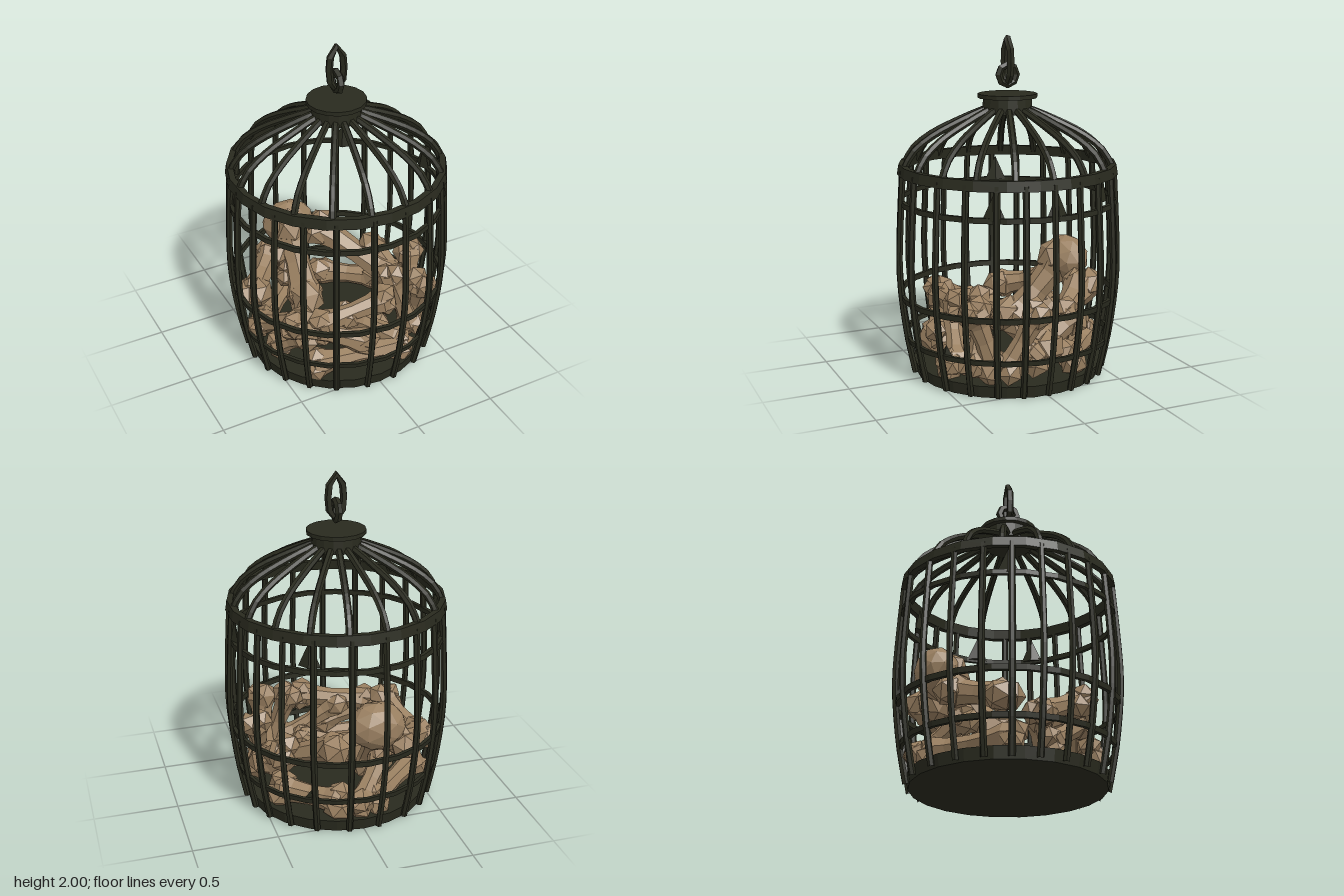
import * as THREE from 'three';

const iron = new THREE.MeshStandardMaterial({ color: 0x292a1e, flatShading: true });
iron.name = 'dark iron';
const boneMat = new THREE.MeshStandardMaterial({ color: 0x9a8061, flatShading: true });
boneMat.name = 'old bone';

const V = (x, y, z) => new THREE.Vector3(x, y, z);
const UP = V(0, 1, 0);
const RAD = Math.PI / 180;

function add(parent, name, geo, mat = iron) {
  const m = new THREE.Mesh(geo, mat);
  m.name = name;
  parent.add(m);
  return m;
}

// Hoop with a rectangular section, slightly tapered from bottom to top
function hoop(parent, name, y0, y1, r0, r1, thick) {
  const pts = [[r0 - thick, y0], [r0, y0], [r1, y1], [r1 - thick, y1], [r0 - thick, y0]];
  return add(parent, name, new THREE.LatheGeometry(pts.map(p => new THREE.Vector2(...p)), 22));
}

// Same bent rod placed at each angle around the vertical axis; profile holds [radius, y]
function rodRing(parent, name, angles, profile, radius, steps) {
  const curve = new THREE.CatmullRomCurve3(profile.map(([r, y]) => V(r, y, 0)));
  const geo = new THREE.TubeGeometry(curve, steps, radius, 6, false);
  for (const deg of angles) add(parent, name, geo).rotation.y = deg * RAD;
}

// Flat triangular barb standing on a hoop
function barb(parent, deg, y, radius, width, height) {
  const a = deg * RAD;
  const m = add(parent, 'barb', new THREE.ConeGeometry(width / 2, height, 4));
  m.position.set(Math.cos(a) * radius, y + height / 2, Math.sin(a) * radius);
  m.rotation.y = -a;
  m.scale.x = 0.4;
}

// Angular oval chain link in the xy plane
function link(parent, cy, halfW, halfH, tube) {
  const pts = [];
  for (let i = 0; i < 8; i++) {
    const a = (i / 8) * Math.PI * 2 + Math.PI / 2;
    pts.push(V(Math.cos(a) * (halfW - tube), Math.sin(a) * (halfH - tube), 0));
  }
  const geo = new THREE.TubeGeometry(new THREE.CatmullRomCurve3(pts, true), 8, tube, 5, true);
  const m = add(parent, 'chainLink', geo);
  m.position.y = cy;
  return m;
}

// Long bone: waisted shaft with a pair of blunt knuckles at each end
function bone(parent, from, to, r, twist) {
  const a = V(...from), b = V(...to), len = a.distanceTo(b);
  const g = new THREE.Group();
  g.name = 'bone';
  const profile = [[0, -0.52], [1.1, -0.5], [1.4, -0.4], [1.05, -0.25], [0.9, 0],
    [1.05, 0.25], [1.4, 0.4], [1.1, 0.5], [0, 0.52]];
  add(g, 'boneShaft', new THREE.LatheGeometry(
    profile.map(([k, t]) => new THREE.Vector2(k * r, t * len)), 7), boneMat);
  for (const end of [-1, 1]) {
    for (const side of [-1, 1]) {
      const k = add(g, 'boneKnuckle', new THREE.IcosahedronGeometry(r * 1.15, 0), boneMat);
      k.position.set(side * r * 0.65, end * len * 0.46, 0);
      k.scale.set(1, 1.2, 1.1);
    }
  }
  g.position.copy(a).lerp(b, 0.5);
  g.quaternion.setFromUnitVectors(UP, b.sub(a).normalize());
  g.rotateY(twist);
  parent.add(g);
}

export function createModel() {
  const model = new THREE.Group();
  model.name = 'hangingCage';
  const cage = new THREE.Group();
  cage.name = 'cage';
  model.add(cage);

  // Solid floor
  add(cage, 'floor', new THREE.CylinderGeometry(0.572, 0.56, 0.07, 22)).position.y = 0.035;

  // Upright bars, bulging in the middle, closest together at the sides
  const barAngles = [0, 180];
  for (const a of [15, 29.5, 45.5, 62, 81]) barAngles.push(a, -a, 180 - a, a - 180);
  rodRing(cage, 'uprightBar', barAngles,
    [[0.57, 0.01], [0.612, 0.22], [0.645, 0.48], [0.654, 0.65], [0.645, 0.9], [0.625, 1.23]], 0.0195, 12);

  // Hoops
  hoop(cage, 'lowerHoop', 0.207, 0.237, 0.618, 0.623, 0.02);
  hoop(cage, 'middleHoop', 0.46, 0.492, 0.65, 0.653, 0.022);
  hoop(cage, 'upperHoop', 1.025, 1.055, 0.645, 0.643, 0.022);
  hoop(cage, 'rimBand', 1.2, 1.26, 0.65, 0.64, 0.035);

  // Domed roof ribs
  rodRing(cage, 'roofRib', Array.from({ length: 18 }, (_, i) => i * 20),
    [[0.62, 1.23], [0.565, 1.33], [0.455, 1.42], [0.3, 1.5], [0.15, 1.565], [0.1, 1.58]], 0.021, 10);

  // Cap
  add(cage, 'capNeck', new THREE.CylinderGeometry(0.142, 0.147, 0.09, 16)).position.y = 1.595;
  add(cage, 'capPlate', new THREE.CylinderGeometry(0.174, 0.174, 0.024, 16)).position.y = 1.65;

  // Barbs
  for (const [deg, r] of [[-2, 0.615], [31, 0.62], [-58, 0.56], [197, 0.615]]) {
    barb(cage, deg, 1.04, r, 0.13, 0.15);
  }
  for (const deg of [60, -60]) barb(cage, deg, 0.22, 0.59, 0.1, 0.07);

  // Chain
  const chain = new THREE.Group();
  chain.name = 'chain';
  model.add(chain);
  link(chain, 1.845, 0.068, 0.155, 0.022);
  link(chain, 1.77, 0.078, 0.08, 0.022).rotation.y = Math.PI / 2;

  // Heap of bones around the floor
  const heap = new THREE.Group();
  heap.name = 'boneHeap';
  model.add(heap);
  const bones = [
    [[-0.46, 0.4, 0.27], [-0.02, 0.23, 0.44], 0.06],
    [[-0.12, 0.4, 0.32], [0.24, 0.13, 0.42], 0.058],
    [[-0.36, 0.14, 0.37], [0.22, 0.13, 0.45], 0.06],
    [[-0.53, 0.27, 0.0], [-0.4, 0.42, 0.3], 0.06],
    [[-0.5, 0.36, -0.16], [-0.25, 0.45, -0.4], 0.07],
    [[-0.08, 0.14, -0.48], [-0.48, 0.15, -0.1], 0.062],
    [[-0.12, 0.6, -0.43], [-0.16, 0.22, -0.1], 0.088],
    [[0.23, 0.54, 0.26], [0.35, 0.14, 0.34], 0.058],
    [[0.38, 0.5, 0.38], [0.4, 0.13, 0.25], 0.064],
    [[0.5, 0.49, 0.03], [0.43, 0.13, 0.2], 0.06],
    [[0.45, 0.24, 0.0], [0.1, 0.5, -0.47], 0.078],
    [[0.42, 0.15, -0.2], [0.1, 0.14, -0.46], 0.068],
    [[-0.3, 0.38, 0.33], [0.14, 0.46, 0.38], 0.06],
    [[-0.2, 0.15, 0.16], [0.16, 0.22, 0.27], 0.05],
    [[0.38, 0.4, -0.24], [0.48, 0.2, 0.08], 0.07],
    [[-0.2, 0.34, -0.3], [0.02, 0.13, -0.52], 0.06],
    [[-0.46, 0.13, 0.1], [-0.36, 0.3, 0.3], 0.055],
  ];
  bones.forEach(([a, b, r], i) => bone(heap, a, b, r, i * 1.3));

  // Broad flared head of the largest bone
  const head = add(heap, 'largeBoneHead', new THREE.IcosahedronGeometry(0.16, 1), boneMat);
  head.position.set(-0.11, 0.605, -0.45);
  head.scale.set(1.08, 0.9, 0.82);

  return model;
}
